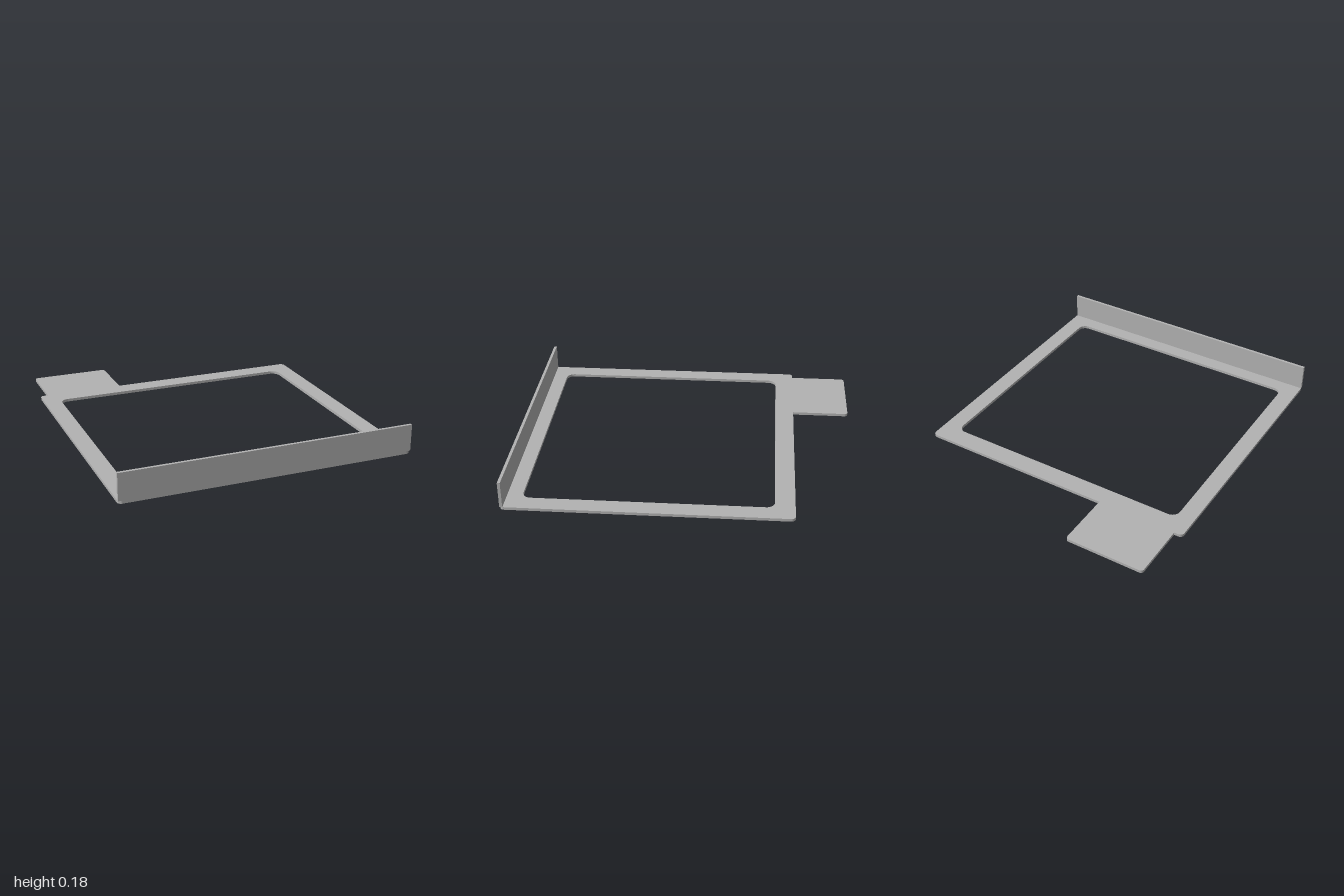
import * as THREE from 'three';

const T = 0.017; // sheet thickness

// Rectangle with corner radii in the order: x0y0, x1y0, x1y1, x0y1
function roundedRect(path, x0, y0, x1, y1, [a, b, c, d]) {
  path.moveTo(x0 + a, y0);
  path.lineTo(x1 - b, y0);
  if (b) path.absarc(x1 - b, y0 + b, b, -Math.PI / 2, 0);
  path.lineTo(x1, y1 - c);
  if (c) path.absarc(x1 - c, y1 - c, c, 0, Math.PI / 2);
  path.lineTo(x0 + d, y1);
  if (d) path.absarc(x0 + d, y1 - d, d, Math.PI / 2, Math.PI);
  path.lineTo(x0, y0 + a);
  if (a) path.absarc(x0 + a, y0 + a, a, Math.PI, Math.PI * 1.5);
  return path;
}

const extrude = (shape) =>
  new THREE.ExtrudeGeometry(shape, { depth: T, bevelEnabled: false, curveSegments: 8 });

export function createModel() {
  const group = new THREE.Group();
  const sheetGrey = new THREE.MeshStandardMaterial({ color: 0xb2b2b2 });
  sheetGrey.name = 'sheet grey';

  const add = (name, geometry) => {
    const mesh = new THREE.Mesh(geometry, sheetGrey);
    mesh.name = name;
    group.add(mesh);
  };

  // Flat frame with a rounded window (shape y is -z once laid flat)
  const r = 0.025;
  const frame = roundedRect(new THREE.Shape(), -0.87, -1, 0.87, 0.65, [r, r, r, r]);
  const w = 0.05;
  frame.holes.push(roundedRect(new THREE.Path(), -0.767, -0.895, 0.765, 0.535, [w, w, w, w]));
  add('frame', extrude(frame).rotateX(-Math.PI / 2));

  // Tab at the back, off to one side
  const tab = roundedRect(new THREE.Shape(), -0.82, 0.65, -0.335, 1, [0, 0, 0.02, 0.02]);
  add('backTab', extrude(tab).rotateX(-Math.PI / 2));

  // Upright lip along the front edge
  const lip = roundedRect(new THREE.Shape(), -0.87, T, 0.87, 0.176, [0, 0, 0, 0]);
  add('frontLip', extrude(lip).translate(0, 0, 1 - T));

  return group;
}
